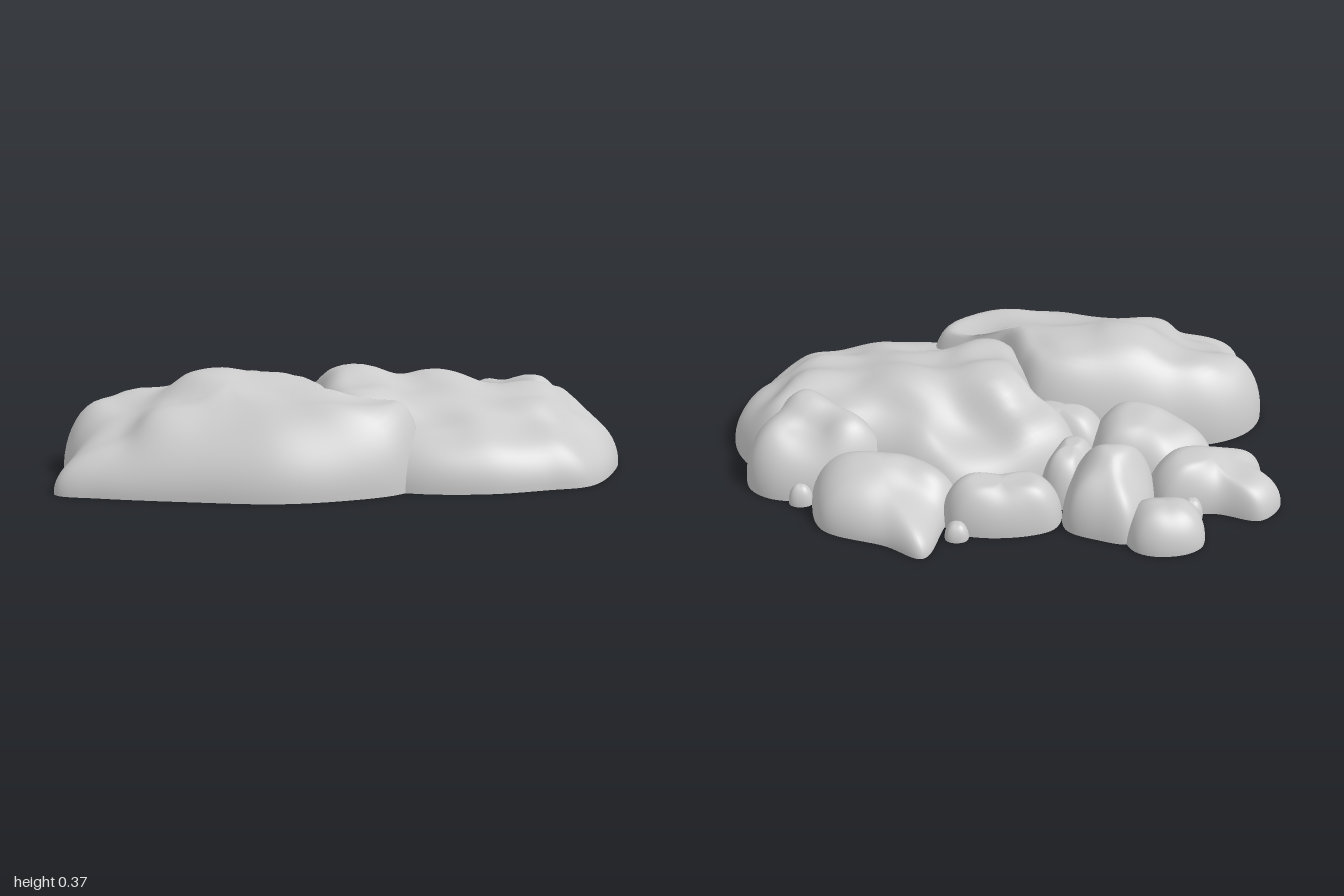
import * as THREE from 'three';

const RINGS = 22;
const STEPS = 10;
const material = new THREE.MeshStandardMaterial({ color: 0xcccccc, side: THREE.DoubleSide });

// Smoothly blends the control heights [x, z, h] at a point
function crownHeight(crown, x, z) {
  let sum = 0, total = 0;
  for (const [cx, cz, h] of crown) {
    const weight = 1 / ((x - cx) ** 2 + (z - cz) ** 2 + 0.006) ** 2;
    sum += h * weight;
    total += weight;
  }
  return sum / total;
}

// Smooth closed ground line from [x, z, optional shoulder width]; y holds the width
function groundLine({ outline, width }) {
  const curve = new THREE.CatmullRomCurve3(
    outline.map(([x, z, w = width]) => new THREE.Vector3(x, w, z)), true, 'centripetal');
  const edge = curve.getPoints(outline.length * STEPS).slice(0, -1);
  if (THREE.ShapeUtils.area(edge.map(p => new THREE.Vector2(p.x, p.z))) > 0) edge.reverse();
  return edge;
}

// Rounded shoulder rising from the ground line to the crown
function surfaceHeight({ crown }, shoulder, depth, x, z) {
  const t = Math.min(1, depth / shoulder);
  const ripple = 0.005 * Math.sin(x * 17 + z * 9) * Math.cos(z * 19 - x * 6);
  return Math.sqrt(1 - (1 - t) ** 2) * (crownHeight(crown, x, z) + ripple);
}

// Whether a point lies inside a stone
function isInside(stone, x, y, z) {
  const [cx, cz] = stone.center;
  const dx = x - cx, dz = z - cz, distance = Math.hypot(dx, dz);
  let best = -Infinity, reach = 0, shoulder = 1;
  for (const p of stone.edge) {
    const ex = p.x - cx, ez = p.z - cz, length = Math.hypot(ex, ez);
    const along = (ex * dx + ez * dz) / length;
    if (along > best) {
      best = along;
      reach = length;
      shoulder = p.y;
    }
  }
  if (distance > reach - 0.005) return false;
  return y < surfaceHeight(stone, shoulder, reach - distance, x, z) - 0.015;
}

// Open-bottomed stone; faces buried in its neighbours are left out
function buildStone(stone, stones) {
  const { name, edge, center: [cx, cz] } = stone;
  const n = edge.length, positions = [], buried = [], index = [];
  const others = stones.filter(other => other !== stone);

  const place = (p, inward) => {
    const x = p.x + (cx - p.x) * inward, z = p.z + (cz - p.z) * inward;
    const y = surfaceHeight(stone, p.y, Math.hypot(cx - p.x, cz - p.z) * inward, x, z);
    positions.push(x, y, z);
    buried.push(others.some(other => isInside(other, x, y, z)));
  };
  const face = (a, b, c) => {
    if (!(buried[a] && buried[b] && buried[c])) index.push(a, b, c);
  };

  for (let k = 0; k < RINGS; k++) {
    for (const p of edge) place(p, (k / RINGS) ** 2);
  }
  place(edge[0], 1);
  const tip = RINGS * n;
  for (let k = 0; k < RINGS; k++) {
    for (let i = 0; i < n; i++) {
      const j = (i + 1) % n, a = k * n + i, b = k * n + j;
      if (k === RINGS - 1) {
        face(a, b, tip);
      } else {
        face(a, b, a + n);
        face(b, b + n, a + n);
      }
    }
  }
  const geometry = new THREE.BufferGeometry();
  geometry.setAttribute('position', new THREE.Float32BufferAttribute(positions, 3));
  geometry.setIndex(index);
  geometry.computeVertexNormals();
  const mesh = new THREE.Mesh(geometry, material);
  mesh.name = name;
  return mesh;
}

// Plain stone on a boxy oval, turned about its centre
function ovalStone(x, z, rx, rz, turn, height) {
  const boxy = v => Math.sign(v) * Math.abs(v) ** 0.8;
  const outline = Array.from({ length: 10 }, (_, k) => {
    const a = k * Math.PI / 5, u = rx * boxy(Math.cos(a)), v = rz * boxy(Math.sin(a));
    return [x + u * Math.cos(turn) - v * Math.sin(turn), z + u * Math.sin(turn) + v * Math.cos(turn)];
  });
  return { outline, center: [x, z], crown: [[x, z, height]], width: Math.min(rx, rz) * 0.95 };
}

const rocks = {
  // Two large slabs
  frontBoulder: {
    center: [-0.38, 0.31], width: 0.35,
    outline: [[-1, 0.2, 0.16], [-0.95, 0.08, 0.16], [-0.84, 0, 0.2], [-0.65, -0.04, 0.22], [-0.12, -0.02, 0.12],
      [-0.03, 0.12, 0.1], [0.05, 0.34, 0.1], [0.2, 0.32, 0.09], [0.275, 0.36, 0.09], [0.265, 0.46, 0.12],
      [0.2, 0.56, 0.18], [0.02, 0.65, 0.3], [-0.2, 0.7], [-0.5, 0.68], [-0.8, 0.64], [-0.95, 0.6, 0.4],
      [-0.95, 0.4, 0.26]],
    crown: [[-0.88, 0.14, 0.25], [-0.74, 0.14, 0.275], [-0.8, 0.36, 0.22], [-0.78, 0.5, 0.18], [-0.47, 0.22, 0.365],
      [-0.25, 0.2, 0.345], [-0.1, 0.1, 0.31], [0.18, 0.41, 0.28], [-0.25, 0.45, 0.29], [-0.6, 0.45, 0.275]],
  },
  rearBoulder: {
    center: [0.3, 0.06], width: 0.15,
    outline: [[1, 0, 0.18], [0.9, -0.18], [0.72, -0.24], [0.5, -0.28], [0.28, -0.38], [0.15, -0.43], [-0.08, -0.37],
      [-0.27, -0.24], [-0.28, -0.16], [-0.17, -0.04], [-0.1, 0.3], [0.06, 0.47, 0.2], [0.25, 0.55, 0.2],
      [0.5, 0.55, 0.2], [0.7, 0.49, 0.2], [0.85, 0.43, 0.2], [0.96, 0.22, 0.2]],
    crown: [[0.03, -0.03, 0.345], [0.35, -0.02, 0.325], [0.7, 0, 0.295], [0.1, -0.3, 0.17], [-0.17, -0.17, 0.24],
      [0.4, -0.24, 0.22], [0.3, 0.17, 0.27], [0.65, 0.17, 0.26], [0.3, 0.38, 0.19], [0.65, 0.36, 0.18],
      [0.86, 0.3, 0.15], [0.89, 0.04, 0.18], [0.7, -0.14, 0.24], [0.05, 0.15, 0.3]],
  },
  // Medium stones along the back
  sideStone: {
    center: [0.7, -0.2], width: 0.14,
    outline: [[0.41, -0.24], [0.6, -0.03], [0.72, 0.02], [0.86, -0.07], [0.92, -0.19], [0.905, -0.3],
      [0.81, -0.37], [0.55, -0.36]],
    crown: [[0.7, -0.11, 0.305], [0.52, -0.22, 0.26], [0.84, -0.18, 0.23], [0.7, -0.28, 0.19]],
  },
  pointedStone: {
    center: [0.42, -0.42], width: 0.17,
    outline: [[0.15, -0.4], [0.2, -0.54], [0.265, -0.71, 0.28], [0.4, -0.64], [0.62, -0.55], [0.67, -0.4],
      [0.65, -0.27], [0.3, -0.25]],
    crown: [[0.42, -0.36, 0.19], [0.3, -0.54, 0.12], [0.55, -0.44, 0.18], [0.24, -0.38, 0.18]],
  },
  innerStone: {
    center: [-0.54, -0.16], width: 0.13,
    outline: [[-0.77, -0.2], [-0.72, -0.07], [-0.62, 0.01], [-0.4, 0.02], [-0.32, -0.1], [-0.33, -0.26],
      [-0.45, -0.32], [-0.6, -0.34]],
    crown: [[-0.5, -0.1, 0.22], [-0.65, -0.16, 0.18]],
  },
  peakStone: {
    center: [-0.38, -0.45], width: 0.13,
    outline: [[-0.54, -0.4], [-0.52, -0.31], [-0.28, -0.31], [-0.22, -0.42], [-0.22, -0.55], [-0.33, -0.61],
      [-0.43, -0.63], [-0.5, -0.55]],
    crown: [[-0.37, -0.41, 0.26], [-0.3, -0.52, 0.19], [-0.46, -0.53, 0.17]],
  },
  // Low stones at the outer rear corner
  outerStone: {
    center: [-0.74, -0.33], width: 0.12,
    outline: [[-0.985, -0.4], [-0.9, -0.5], [-0.75, -0.46], [-0.56, -0.46], [-0.51, -0.38], [-0.55, -0.26],
      [-0.65, -0.19], [-0.82, -0.17], [-0.93, -0.2], [-0.94, -0.29]],
    crown: [[-0.65, -0.35, 0.17], [-0.88, -0.38, 0.12]],
  },
  rearStone: ovalStone(-0.555, -0.58, 0.14, 0.12, -0.1, 0.135),
  // Low stones filling the gaps
  longStone: ovalStone(0, -0.48, 0.21, 0.115, -0.05, 0.165),
  wedgeStone: ovalStone(-0.24, -0.3, 0.14, 0.09, -1.2, 0.18),
  saddleStone: ovalStone(-0.22, -0.08, 0.18, 0.12, 0.3, 0.2),
  // Pebbles wedged between the stones
  outerPebble: ovalStone(-0.66, -0.465, 0.042, 0.04, 0, 0.07),
  middlePebble: ovalStone(0.155, -0.585, 0.042, 0.04, 0, 0.06),
  sidePebble: ovalStone(0.71, -0.375, 0.045, 0.042, 0, 0.07),
};

export function createModel() {
  const group = new THREE.Group();
  group.name = 'rockCluster';
  const stones = Object.entries(rocks).map(([name, spec]) => ({ ...spec, name, edge: groundLine(spec) }));
  for (const stone of stones) group.add(buildStone(stone, stones));
  return group;
}
